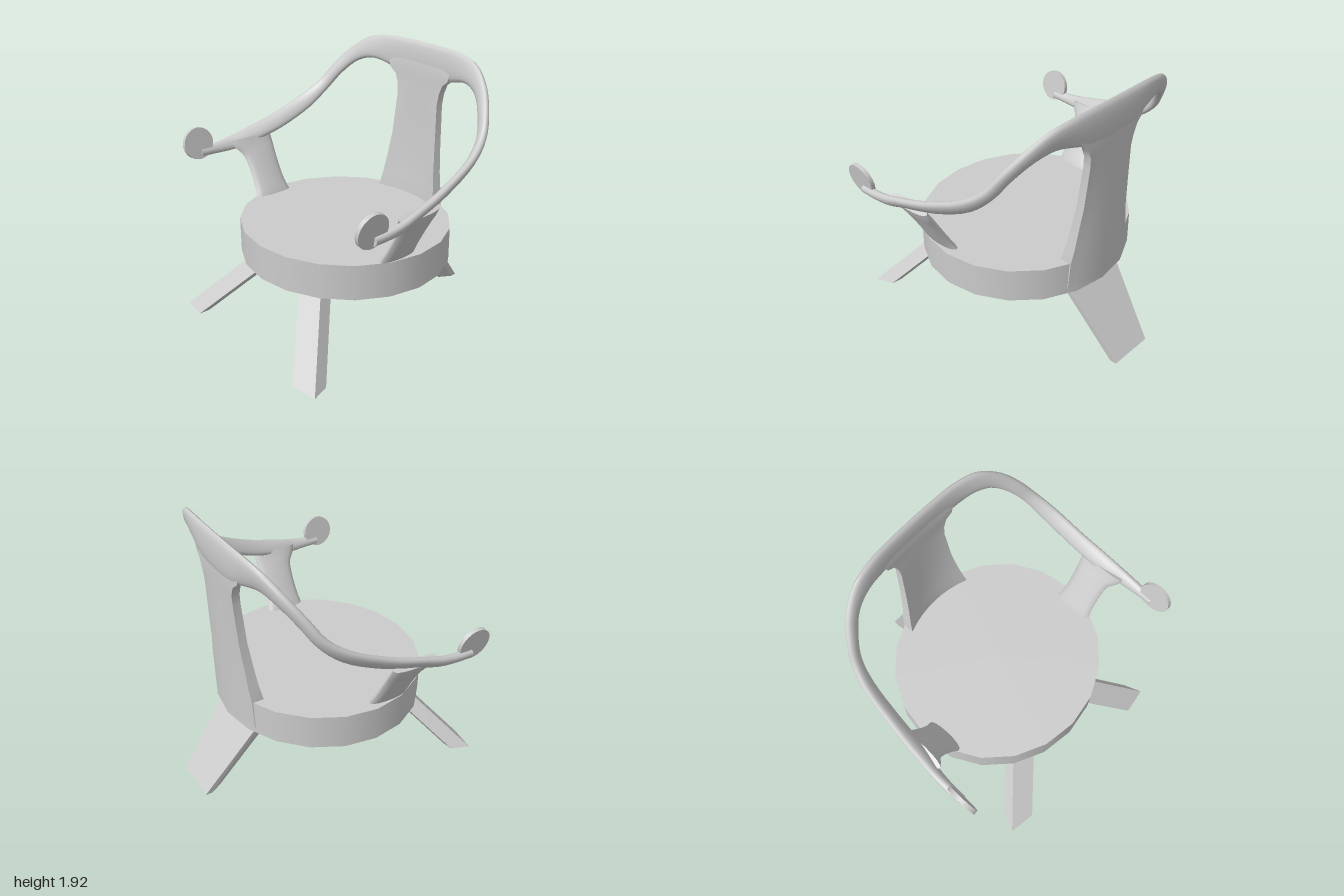
import * as THREE from 'three';
import { toCreasedNormals } from 'three/addons/utils/BufferGeometryUtils.js';

const material = new THREE.MeshStandardMaterial({ color: 0xcccccc });
const V = (x, y, z) => new THREE.Vector3(x, y, z);

// Closed skin through equal-sized rings of points, capped at both ends.
function loft(rings, crease = 0.9) {
  const n = rings[0].length, tris = [];
  for (let i = 0; i < rings.length - 1; i++) {
    for (let j = 0; j < n; j++) {
      const k = (j + 1) % n;
      const a = rings[i][j], b = rings[i][k], c = rings[i + 1][k], d = rings[i + 1][j];
      tris.push([a, b, c], [a, c, d]);
    }
  }
  const mid = (r) => r.reduce((s, p) => s.add(p), V(0, 0, 0)).divideScalar(n);
  const first = rings[0], last = rings[rings.length - 1];
  const c0 = mid(first), c1 = mid(last);
  for (let j = 0; j < n; j++) {
    const k = (j + 1) % n;
    tris.push([c0, first[k], first[j]], [c1, last[j], last[k]]);
  }
  // Turn the faces outward, judged by the signed volume.
  let volume = 0;
  for (const [a, b, c] of tris) volume += a.dot(b.clone().cross(c));
  const pts = tris.flatMap(([a, b, c]) => (volume > 0 ? [a, b, c] : [a, c, b]));
  return toCreasedNormals(new THREE.BufferGeometry().setFromPoints(pts), crease);
}

// Flattened oval band running between two edge curves.
function band(edgeA, edgeB, halfThick, steps) {
  const ca = new THREE.CatmullRomCurve3(edgeA), cb = new THREE.CatmullRomCurve3(edgeB);
  const middle = (t) => ca.getPoint(t).lerp(cb.getPoint(t), 0.5);
  const rings = [];
  for (let i = 0; i <= steps; i++) {
    const t = i / steps;
    const m = middle(t), half = ca.getPoint(t).sub(m);
    const along = middle(Math.min(1, t + 0.004)).sub(middle(Math.max(0, t - 0.004)));
    const across = along.cross(half).normalize().multiplyScalar(halfThick);
    const ring = [];
    for (let j = 0; j < 16; j++) {
      const a = (j / 16) * Math.PI * 2, c = Math.cos(a), s = Math.sin(a);
      ring.push(m.clone().addScaledVector(half, c)
        .addScaledVector(across, Math.sign(s) * Math.pow(Math.abs(s), 0.8)));
    }
    rings.push(ring);
  }
  return loft(rings);
}

export function createModel() {
  const group = new THREE.Group();
  const add = (name, geometry) => {
    const mesh = new THREE.Mesh(geometry, material);
    mesh.name = name;
    group.add(mesh);
    return mesh;
  };

  // Round seat
  const seat = add('seat', new THREE.CylinderGeometry(0.775, 0.775, 0.25, 20));
  seat.scale.z = 0.735 / 0.775;
  seat.position.set(0, 0.64, 0.055);

  // Back splat: [y, half width, back z, front z, forward curl of the sides]
  const splat = [
    [0.56, 0.3, -0.68, -0.59, 0.06],
    [0.765, 0.29, -0.685, -0.595, 0.055],
    [0.88, 0.27, -0.688, -0.61, 0.045],
    [1.0, 0.25, -0.69, -0.622, 0.04],
    [1.2, 0.225, -0.695, -0.635, 0.025],
    [1.5, 0.205, -0.7, -0.645, 0.01],
    [1.58, 0.213, -0.703, -0.647, 0.005],
    [1.65, 0.24, -0.705, -0.65, 0.005],
    [1.69, 0.29, -0.705, -0.65, 0.01],
    [1.76, 0.32, -0.705, -0.655, 0.01],
    [1.84, 0.25, -0.7, -0.665, 0],
  ];
  add('backSplat', loft(splat.map(([y, w, back, front, curl]) => {
    const ring = [];
    for (let i = -4; i <= 4; i++) ring.push(V(w * i / 4, y, front + curl * (i / 4) ** 2));
    for (let i = 4; i >= -4; i--) ring.push(V(w * i / 4, y, back + curl * (i / 4) ** 2));
    return ring;
  })));

  // Continuous top rail and arms: upper edge xyz, lower edge xyz
  const half = [
    [0.2, 1.92, -0.685, 0.2, 1.66, -0.68],
    [0.38, 1.91, -0.675, 0.34, 1.7, -0.66],
    [0.55, 1.87, -0.645, 0.47, 1.725, -0.63],
    [0.7, 1.76, -0.575, 0.6, 1.69, -0.59],
    [0.8, 1.63, -0.49, 0.71, 1.585, -0.515],
    [0.865, 1.505, -0.4, 0.79, 1.45, -0.43],
    [0.915, 1.4, -0.25, 0.835, 1.32, -0.29],
    [0.95, 1.29, 0, 0.865, 1.2, -0.04],
    [0.97, 1.24, 0.15, 0.88, 1.15, 0.13],
    [0.98, 1.205, 0.28, 0.9, 1.115, 0.28],
    [0.985, 1.175, 0.4, 0.93, 1.092, 0.4],
    [0.985, 1.155, 0.53, 0.945, 1.09, 0.53],
    [0.98, 1.15, 0.64, 0.95, 1.09, 0.64],
  ];
  const edge = (k) => {
    const right = half.map((r) => V(r[k], r[k + 1], r[k + 2]));
    return [...right.map((p) => V(-p.x, p.y, p.z)).reverse(), ...right];
  };
  add('armRail', band(edge(0), edge(3), 0.03, 100));

  for (const s of [1, -1]) {
    const side = s > 0 ? 'left' : 'right';

    // Leaning arm post, flared at both ends: [y, x, rear z, front z]
    const post = [
      [0.7, 0.67, 0.02, 0.35],
      [0.77, 0.7, 0.045, 0.335],
      [0.84, 0.74, 0.06, 0.325],
      [1.0, 0.83, 0.06, 0.325],
      [1.06, 0.865, 0.055, 0.34],
      [1.11, 0.895, 0.05, 0.38],
      [1.16, 0.92, 0.05, 0.4],
    ];
    add(side + 'ArmPost', band(
      post.map(([y, x, r]) => V(s * x, y, r)),
      post.map(([y, x, , f]) => V(s * x, y, f)), 0.036, 16));

    // Round disc at the end of the arm
    const disc = add(side + 'ArmDisc', new THREE.CylinderGeometry(0.118, 0.118, 0.03, 28));
    disc.rotation.z = -s * (Math.PI / 2 + 0.17);
    disc.position.set(s * 0.97, 1.193, 0.655);

    // Splayed five-sided front leg
    const foot = [[0.77, 0.94], [0.575, 0.97], [0.58, 0.88], [0.64, 0.8], [0.72, 0.81]];
    add(side + 'FrontLeg', loft([
      foot.map(([x, z]) => V(s * x, 0.04, z)),
      foot.map(([x, z]) => V(s * (x - 0.425), 0.54, z - 0.395)),
    ], 0.6));
  }

  // Broad back leg with bevelled inner corners
  const legRing = (y, pts) => [...pts.map(([x, z]) => V(x, y, z)),
    ...pts.map(([x, z]) => V(-x, y, z)).reverse()];
  add('backLeg', loft([
    legRing(0, [[0.17, -0.97], [0.172, -0.92], [0.12, -0.83]]),
    legRing(0.54, [[0.255, -0.56], [0.255, -0.5], [0.18, -0.375]]),
  ], 0.6));

  return group;
}
